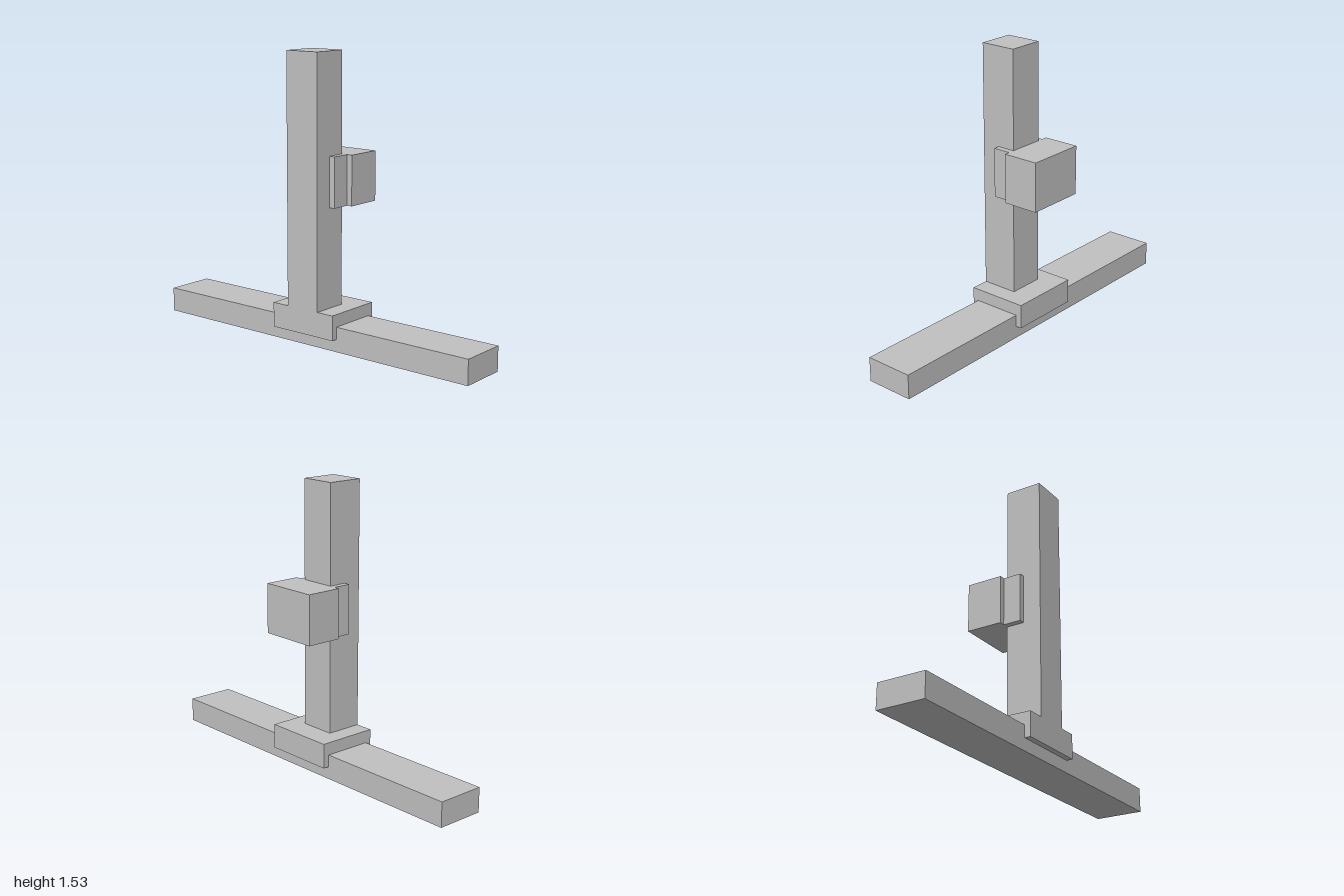
import * as THREE from 'three';

export function createModel() {
  const model = new THREE.Group();
  model.name = 'railStand';
  const grey = new THREE.MeshStandardMaterial({ color: 0xc0c0c0 });
  grey.name = 'plain grey';

  // Box given by its limits on each axis
  function box(name, [x0, x1], [y0, y1], [z0, z1], parent = model) {
    const mesh = new THREE.Mesh(new THREE.BoxGeometry(x1 - x0, y1 - y0, z1 - z0), grey);
    mesh.name = name;
    mesh.position.set((x0 + x1) / 2, (y0 + y1) / 2, (z0 + z1) / 2);
    parent.add(mesh);
  }

  // Closed profile pushed out along its normal by depth
  function extrude(name, points, depth) {
    const shape = new THREE.Shape(points.map(([a, b]) => new THREE.Vector2(a, b)));
    const mesh = new THREE.Mesh(new THREE.ExtrudeGeometry(shape, { depth, bevelEnabled: false }), grey);
    mesh.name = name;
    model.add(mesh);
    return mesh;
  }

  // Horizontal rail
  box('baseRail', [-1, 1], [0, 0.133], [-0.1, 0.167]);

  // Saddle: a channel clipped over the rail, profile in (-z, y), extruded along x
  const saddle = extrude('saddle', [
    [-0.2, 0.067], [-0.167, 0.067], [-0.167, 0.133], [0.1, 0.133],
    [0.1, 0.067], [0.133, 0.067], [0.133, 0.2], [-0.2, 0.2],
  ], 0.4);
  saddle.rotation.y = Math.PI / 2;
  saddle.position.x = -0.2;

  // Upright post, flush with the front of the saddle
  box('post', [-0.1, 0.1], [0.2, 1.533], [0, 0.2]);

  // Slider: block behind the post with two jaws, profile in (x, -z), extruded along y
  const slider = extrude('slider', [
    [-0.165, 0], [-0.133, 0], [-0.133, -0.1], [-0.1, -0.1], [-0.1, 0],
    [0.1, 0], [0.1, -0.1], [0.133, -0.1], [0.133, 0], [0.165, 0],
    [0.165, 0.2], [-0.165, 0.2],
  ], 0.267);
  slider.rotation.x = -Math.PI / 2;
  slider.position.y = 0.733;

  return model;
}
